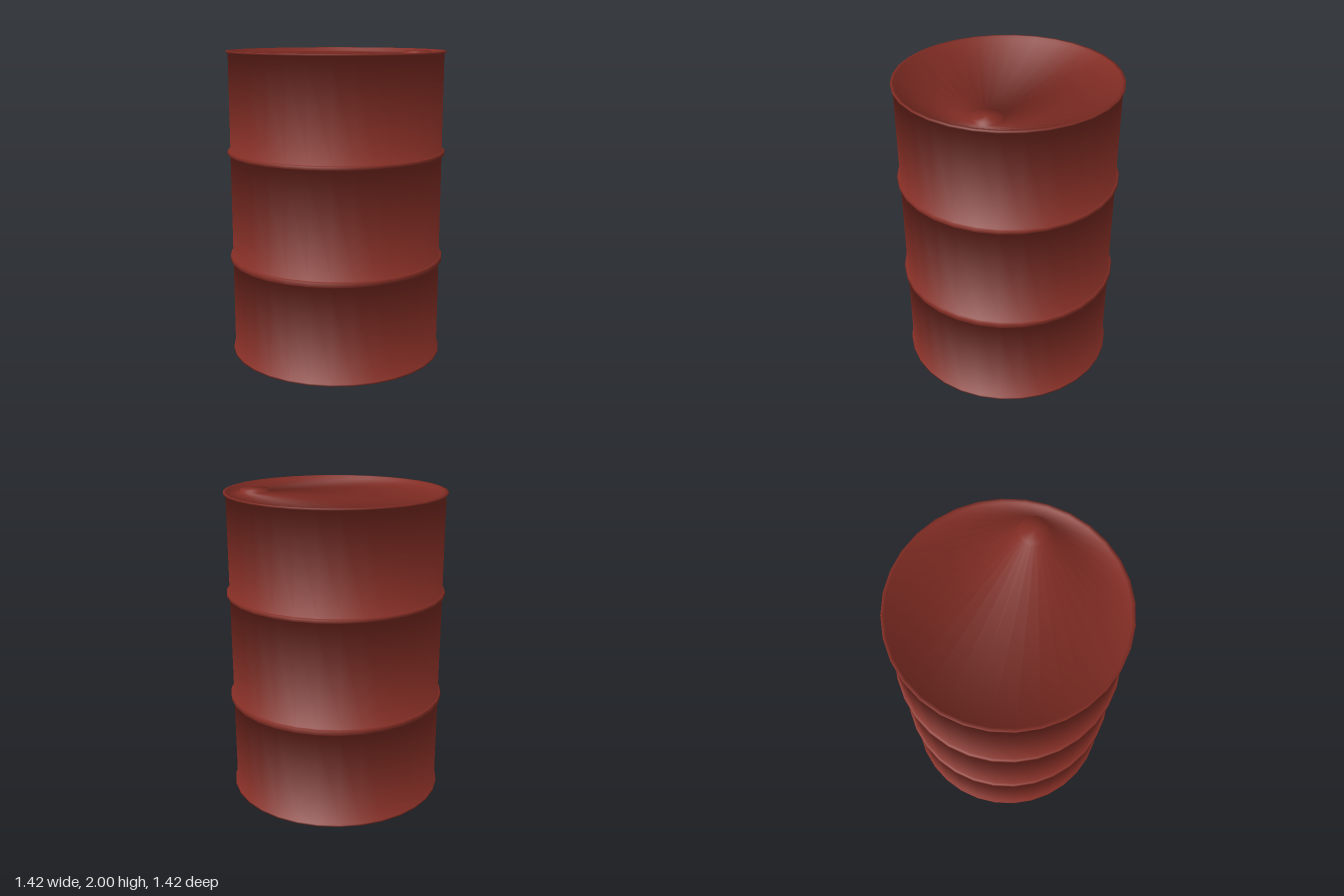
import * as THREE from 'three';

const SEGMENTS = 32;
const CAP = { x: 0.31, z: 0.42, r: 0.09 };
const material = new THREE.MeshStandardMaterial({ color: 0x822d24 });

// rolled hoop around the shell, between heights y0 and y1
const hoop = (y0, y1) => [
  [0.693, y0], [0.706, y0], [0.711, y0 + 0.006],
  [0.711, y1 - 0.006], [0.706, y1], [0.693, y1],
];

// Whole outline as [radius, height], from the bottom centre to the cap centre
const base = [[0, 0.015], [0.684, 0.015], [0.684, 0]];
const shell = [
  [0.705, 0], [0.705, 0.012], [0.693, 0.012],
  ...hoop(0.63, 0.667),
  ...hoop(1.338, 1.366),
  [0.693, 1.988], [0.705, 1.988], [0.705, 2], [0.684, 2], [0.684, 1.978],
];
const cap = [[CAP.r, 1.978], [CAP.r, 1.998], [0, 1.998]];
const outline = [...base, ...shell, ...cap].map(([r, y]) => new THREE.Vector2(r, y));

// Soft normals: each outline point averages its two neighbouring slopes equally
const slopes = outline.slice(1).map((p, i) => {
  const d = p.clone().sub(outline[i]).normalize();
  return new THREE.Vector2(d.y, -d.x);
});
const normals = outline.map((_, i) => {
  const n = new THREE.Vector2();
  if (i > 0) n.add(slopes[i - 1]);
  if (i < slopes.length) n.add(slopes[i]);
  return n.normalize();
});

// Turn outline points first..last into a mesh; shift the small rings to the cap
function turned(name, first, last, capFrom = Infinity) {
  const points = outline.slice(first, last + 1);
  const geometry = new THREE.LatheGeometry(points, SEGMENTS);
  const { position, normal } = geometry.attributes;
  for (let i = 0; i < position.count; i++) {
    const j = first + (i % points.length);
    const angle = (Math.floor(i / points.length) / SEGMENTS) * Math.PI * 2;
    const n = normals[j];
    normal.setXYZ(i, n.x * Math.sin(angle), n.y, n.x * Math.cos(angle));
    if (j >= capFrom) {
      position.setX(i, position.getX(i) + CAP.x);
      position.setZ(i, position.getZ(i) + CAP.z);
    }
  }
  const mesh = new THREE.Mesh(geometry, material);
  mesh.name = name;
  return mesh;
}

export function createModel() {
  const group = new THREE.Group();
  group.name = 'drum';
  const end = outline.length - 1;
  const capStart = end - 2;
  group.add(
    turned('bottom', 0, 1),
    turned('shell', 1, capStart - 1),
    turned('lid', capStart - 1, capStart, capStart),
    turned('fillerCap', capStart, end, capStart),
  );
  return group;
}
